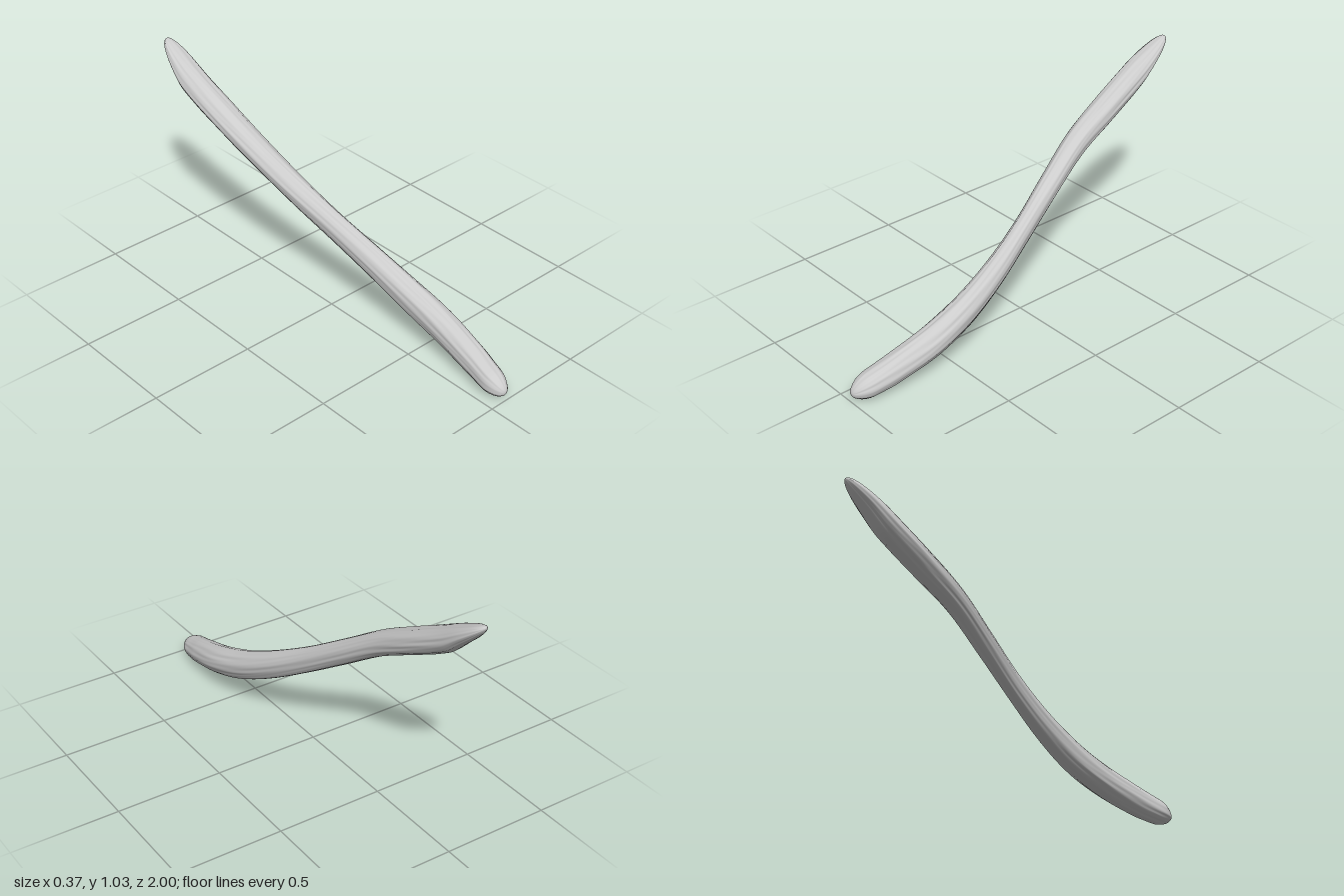
import * as THREE from 'three';

// Stations along the stick: z, centre x, centre y, half width, half height
const STATIONS = [
  [1.0, 0.08, 0.05, 0.05, 0.05],
  [0.95, 0.085, 0.06, 0.055, 0.056],
  [0.9, 0.09, 0.07, 0.057, 0.059],
  [0.8, 0.103, 0.097, 0.061, 0.067],
  [0.6, 0.115, 0.157, 0.065, 0.073],
  [0.4, 0.1, 0.227, 0.06, 0.076],
  [0.2, 0.067, 0.321, 0.053, 0.072],
  [0.0, 0.018, 0.432, 0.048, 0.067],
  [-0.2, -0.036, 0.555, 0.054, 0.065],
  [-0.4, -0.083, 0.681, 0.06, 0.064],
  [-0.6, -0.106, 0.785, 0.066, 0.065],
  [-0.8, -0.122, 0.89, 0.066, 0.064],
  [-0.9, -0.122, 0.96, 0.063, 0.05],
  [-1.0, -0.12, 1.03, 0.06, 0.045],
];

// Smooth interpolation of one station column at z
function sample(z, col) {
  const last = STATIONS.length - 1;
  let i = 0;
  while (i < last - 1 && z < STATIONS[i + 1][0]) i++;
  const at = (k) => STATIONS[Math.min(last, Math.max(0, k))];
  const slope = (k) => (at(k + 1)[col] - at(k - 1)[col]) / (at(k + 1)[0] - at(k - 1)[0]);
  const p = at(i), q = at(i + 1), h = q[0] - p[0], t = (z - p[0]) / h;
  const t2 = t * t, t3 = t2 * t;
  return (2 * t3 - 3 * t2 + 1) * p[col] + (t3 - 2 * t2 + t) * h * slope(i)
    + (3 * t2 - 2 * t3) * q[col] + (t3 - t2) * h * slope(i + 1);
}

// Rounds an end: 0 at the tip, 1 beyond the cap length
function cap(distance, length) {
  const u = 1 - Math.min(1, Math.max(0, distance) / length);
  return Math.sqrt(1 - u * u);
}

// Long bark ridges that wander and fade along the stick
function bark(a, z) {
  return 0.018 * Math.sin(5 * a + 3 * z)
    + 0.016 * Math.sin(11 * a - 4 * z + Math.sin(5 * z))
    + 0.014 * Math.sin(19 * a + 5 * z) * Math.sin(7 * z + 2 * a);
}

function stickGeometry(rings = 160, sides = 80) {
  const positions = [], indices = [];
  for (let i = 0; i <= rings; i++) {
    const z = Math.cos((Math.PI * i) / rings);
    const [cx, cy, w, h] = [1, 2, 3, 4].map((col) => sample(z, col));
    const f = cap(1 - z, 0.1) * cap(1 + z, 0.2);
    for (let j = 0; j < sides; j++) {
      const a = (2 * Math.PI * j) / sides;
      const r = f * (1 + bark(a, z));
      positions.push(cx + w * r * Math.cos(a), cy + h * r * Math.sin(a), z);
      if (i < rings) {
        const p = i * sides + j, q = i * sides + ((j + 1) % sides);
        indices.push(p, p + sides, q, q, p + sides, q + sides);
      }
    }
  }
  const geometry = new THREE.BufferGeometry();
  geometry.setAttribute('position', new THREE.Float32BufferAttribute(positions, 3));
  geometry.setIndex(indices);
  geometry.computeVertexNormals();
  return geometry;
}

export function createModel() {
  const group = new THREE.Group();
  group.name = 'woodenStick';
  const stick = new THREE.Mesh(stickGeometry(), new THREE.MeshStandardMaterial({ color: 0xcccccc }));
  stick.name = 'stick';
  group.add(stick);
  return group;
}
